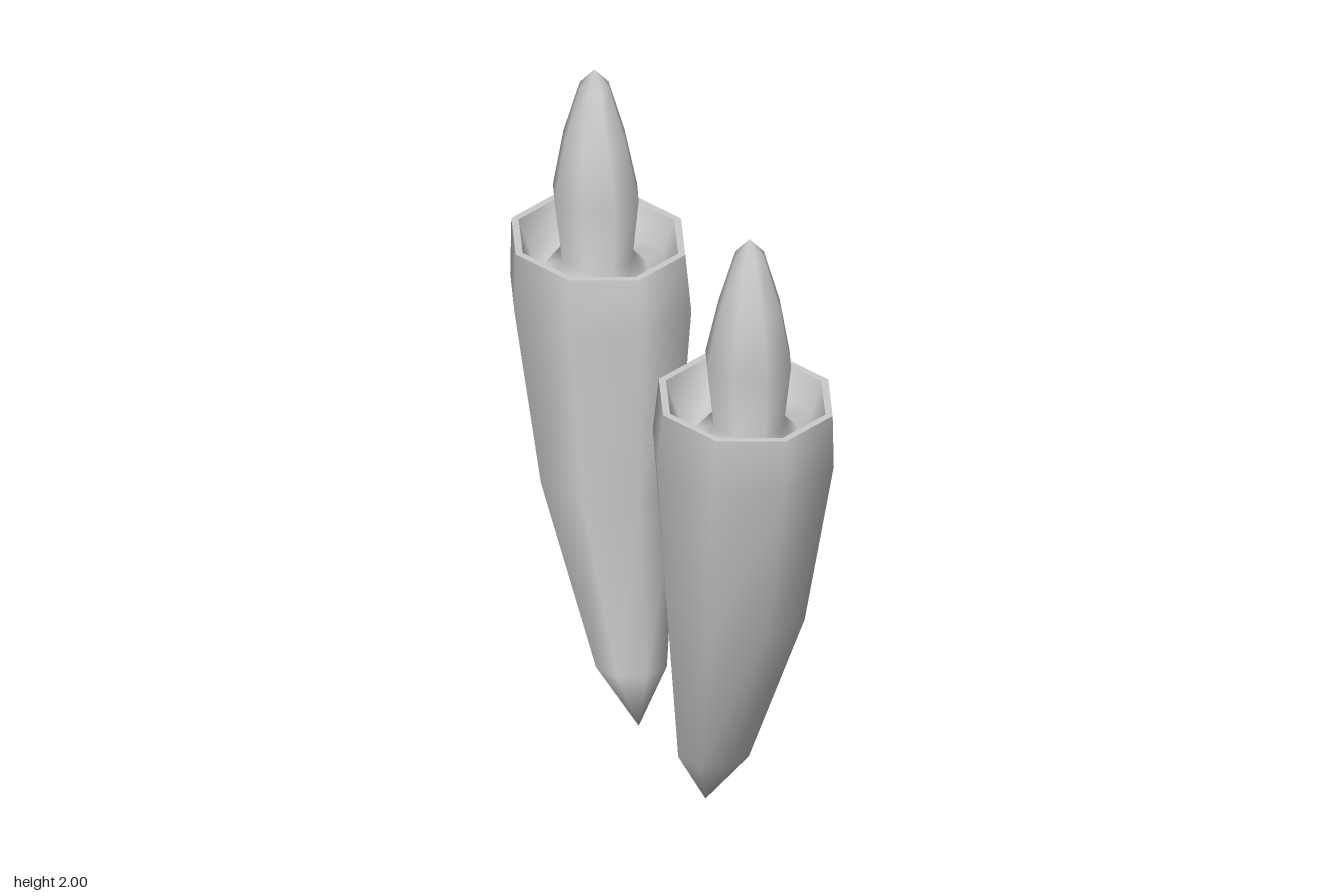
import * as THREE from 'three';
import { mergeVertices } from 'three/addons/utils/BufferGeometryUtils.js';

const SIDES = 8;
const material = new THREE.MeshStandardMaterial({ color: 0xcccccc });

// Skins a stack of eight-sided rings, each given as [y, centre z, radius x, radius z].
function loft(name, rings) {
  const positions = [];
  const index = [];
  for (const [y, cz, rx, rz] of rings) {
    for (let j = 0; j < SIDES; j++) {
      const t = (j / SIDES) * Math.PI * 2;
      positions.push(Math.sin(t) * rx, y, cz + Math.cos(t) * rz);
    }
  }
  for (let i = 0; i < rings.length - 1; i++) {
    for (let j = 0; j < SIDES; j++) {
      const k = (j + 1) % SIDES;
      const a = i * SIDES + j, b = i * SIDES + k;
      const c = b + SIDES, d = a + SIDES;
      if (rings[i][2] > 0) index.push(a, b, c);
      if (rings[i + 1][2] > 0) index.push(a, c, d);
      else if (rings[i][2] > 0) index.splice(-3, 3, a, b, d);
    }
  }
  const geometry = new THREE.BufferGeometry();
  geometry.setAttribute('position', new THREE.Float32BufferAttribute(positions, 3));
  geometry.setIndex(index);
  const merged = mergeVertices(geometry);
  merged.computeVertexNormals();
  const mesh = new THREE.Mesh(merged, material);
  mesh.name = name;
  return mesh;
}

function createTorch(name) {
  const torch = new THREE.Group();
  torch.name = name;

  // Curved holder, tapering to a pointed foot
  torch.add(loft('holder', [
    [0, 0.235, 0, 0],
    [0.19, 0.29, 0.11, 0.112],
    [0.74, 0.448, 0.213, 0.213],
    [1.29, 0.503, 0.272, 0.293],
    [1.465, 0.52, 0.26, 0.285],
  ]));

  // Thin flat lip around the opening
  torch.add(loft('rim', [
    [1.465, 0.52, 0.26, 0.285],
    [1.465, 0.52, 0.238, 0.262],
  ]));

  // Hollow bowl whose floor flares up into the flame
  torch.add(loft('bowlAndFlame', [
    [1.465, 0.52, 0.238, 0.262],
    [1.37, 0.522, 0.205, 0.222],
    [1.335, 0.53, 0.16, 0.17],
    [1.4, 0.535, 0.107, 0.118],
    [1.6, 0.538, 0.13, 0.136],
    [1.78, 0.547, 0.095, 0.098],
    [1.95, 0.548, 0.045, 0.045],
    [2, 0.548, 0, 0],
  ]));
  return torch;
}

export function createModel() {
  const model = new THREE.Group();
  model.name = 'torchPair';
  const front = createTorch('frontTorch');
  const back = createTorch('backTorch');
  back.rotation.y = Math.PI;
  model.add(front, back);
  return model;
}
